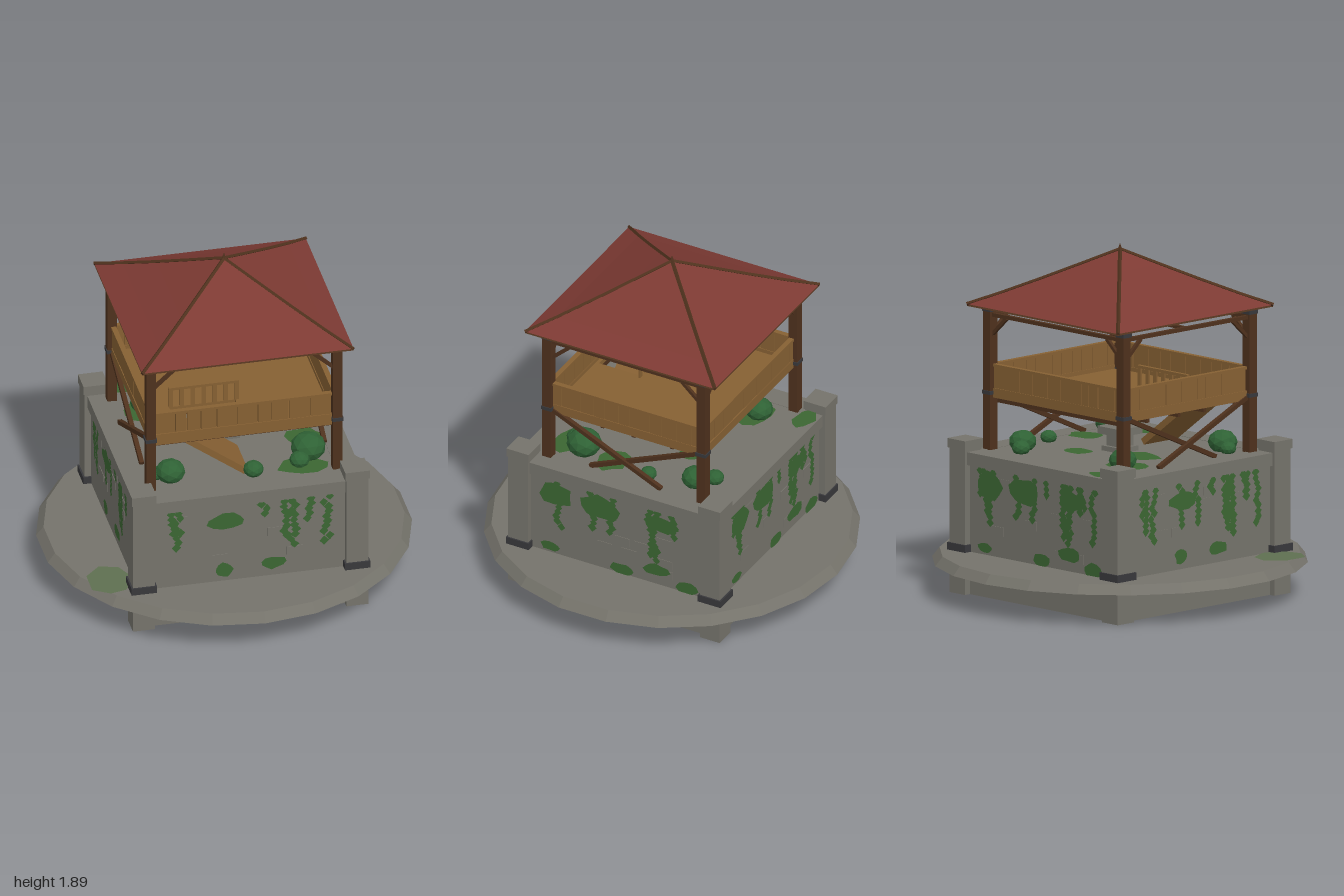
import * as THREE from 'three';

const mat = (name, color, extra = {}) => Object.assign(new THREE.MeshStandardMaterial({ color, ...extra }), { name });

export function createModel() {
  const root = new THREE.Group();
  root.name = 'watchtower';
  const DS = { side: THREE.DoubleSide };
  const stone = mat('stone', 0x75736b);
  const darkWood = mat('darkWood', 0x4e311d, DS);
  const plank = mat('plank', 0x866033);
  const roofRed = mat('roofRed', 0x7d3a33);
  const moss = mat('moss', 0x3b6632, DS);
  const paleMoss = mat('paleMoss', 0x5e6f50, DS);
  const leaf = mat('leaf', 0x2f6235);
  const iron = mat('iron', 0x38383b);
  const shadowFloor = mat('shadowFloor', 0x1e1e1e, DS);

  let seed = 7;
  const rnd = () => (seed = (seed * 16807) % 2147483647) / 2147483647;

  const add = (name, geo, material, x = 0, y = 0, z = 0, parent = root) => {
    const m = new THREE.Mesh(geo, material);
    m.name = name;
    m.position.set(x, y, z);
    parent.add(m);
    return m;
  };
  // Box given by its min and max corners
  const box = (name, material, x0, x1, y0, y1, z0, z1, parent = root) =>
    add(name, new THREE.BoxGeometry(x1 - x0, y1 - y0, z1 - z0), material,
      (x0 + x1) / 2, (y0 + y1) / 2, (z0 + z1) / 2, parent);
  // Timber between two points
  const beam = (name, material, a, b, w, d = w) => {
    const p = new THREE.Vector3(...a), q = new THREE.Vector3(...b);
    const dir = q.clone().sub(p), len = dir.length();
    const m = add(name, new THREE.BoxGeometry(w, len, d), material);
    m.position.copy(p).add(q).multiplyScalar(0.5);
    m.quaternion.setFromUnitVectors(new THREE.Vector3(0, 1, 0), dir.normalize());
  };
  const faceted = g => {
    const f = g.index ? g.toNonIndexed() : g;
    f.computeVertexNormals();
    return f;
  };
  // Ragged flat blob outline
  const blob = (cx, cy, rx, ry, n = 11) => new THREE.Shape(Array.from({ length: n }, (_, i) => {
    const a = i / n * Math.PI * 2, k = 0.8 + rnd() * 0.3;
    return new THREE.Vector2(cx + Math.cos(a) * rx * k, cy + Math.sin(a) * ry * k);
  }));
  const rect = (path, x0, x1, y0, y1) => path.moveTo(x0, y0).lineTo(x1, y0).lineTo(x1, y1).lineTo(x0, y1);

  // Round terrace slab
  add('terraceSlab', faceted(new THREE.CylinderGeometry(0.96, 1, 0.05, 22)), stone, 0, 0.205);
  box('cellarCeiling', shadowFloor, -0.52, 0.52, 0.172, 0.178, -0.52, 0.52);
  box('cellarBeam', stone, -0.35, 0.5, 0.13, 0.172, -0.03, 0.03);
  box('courtFloor', stone, -0.56, 0.56, 0.72, 0.768, -0.56, 0.56);

  // Stone walls with coping, raised stones, moss patches and hanging vines [u, bottom]
  const wall = (name, turn, patches, vines) => {
    const g = new THREE.Group();
    g.name = name;
    g.rotation.y = turn * Math.PI / 2;
    root.add(g);
    box('wall', stone, -0.54, 0.54, 0, 0.7, 0.51, 0.605, g);
    box('coping', stone, -0.54, 0.54, 0.7, 0.77, 0.5, 0.625, g);
    for (let i = 0; i < 9; i++) {
      const u = -0.42 + rnd() * 0.76, y = 0.28 + Math.floor(rnd() * 6) * 0.065;
      box('raisedStone', stone, u, u + 0.09, y, y + 0.05, 0.6, 0.608, g);
    }
    const shapes = patches.map(p => blob(...p));
    for (const [u, bottom] of vines)
      for (let y = 0.68; y > bottom; y -= 0.03)
        shapes.push(blob(u + (rnd() - 0.5) * 0.035, y, 0.026, 0.028, 4));
    add('wallMoss', new THREE.ShapeGeometry(shapes), moss, 0, 0, 0.611, g);
  };
  const sparse = [[-0.13, 0.6, 0.1, 0.05], [-0.14, 0.3, 0.05, 0.045], [0.13, 0.31, 0.07, 0.04]];
  const dense = [[-0.37, 0.61, 0.1, 0.08], [-0.1, 0.61, 0.12, 0.08], [0.27, 0.61, 0.1, 0.05],
    [-0.4, 0.27, 0.06, 0.03], [0.03, 0.26, 0.07, 0.035], [0.24, 0.32, 0.08, 0.04], [0.42, 0.26, 0.07, 0.04]];
  const thinVines = [[-0.42, 0.55], [-0.39, 0.46], [0.08, 0.6], [0.19, 0.45], [0.24, 0.39], [0.33, 0.53], [0.42, 0.4]];
  const thickVines = [[-0.35, 0.38], [-0.15, 0.45], [-0.03, 0.45], [0.2, 0.4], [0.23, 0.36], [0.34, 0.53]];
  wall('frontWall', 0, sparse, thinVines);
  wall('leftWall', 1, dense, thickVines);
  wall('backWall', 2, dense, [...thinVines, ...thickVines]);
  wall('rightWall', 3, sparse, [...thinVines, ...thickVines]);

  // Corner pillars, timber posts, bands and braces
  for (const sx of [-1, 1]) for (const sz of [-1, 1]) {
    const px = sx * 0.58, pz = sz * 0.58, tx = sx * 0.507, tz = sz * 0.467;
    add('cornerPillar', new THREE.BoxGeometry(0.12, 0.8, 0.12), stone, px, 0.4, pz);
    add('pillarCap', new THREE.BoxGeometry(0.134, 0.05, 0.134), stone, px, 0.807, pz);
    add('pillarCollar', new THREE.BoxGeometry(0.138, 0.04, 0.138), iron, px, 0.25, pz);
    add('post', new THREE.BoxGeometry(0.053, 1.51, 0.053), darkWood, tx, 0.785, tz);
    for (const y of [1.077, 1.525])
      add('postBand', new THREE.BoxGeometry(0.062, 0.02, 0.062), iron, tx, y, tz);
    beam('kneeBrace', darkWood, [sx * 0.49, 1.39, tz], [sx * 0.38, 1.49, tz], 0.018);
    beam('kneeBrace', darkWood, [tx, 1.39, sz * 0.45], [tx, 1.49, sz * 0.34], 0.018);
    beam('crossBrace', darkWood, [tx, 1.07, sz * 0.45], [tx + sx * sz * 0.01, 0.775, -sz * 0.22], 0.024);
  }

  // Roof frame and bell
  for (const s of [-1, 1]) {
    const z = s * 0.467, x = s * 0.507;
    box('tieBeam', darkWood, -0.5, 0.5, 1.488, 1.508, z - 0.012, z + 0.012);
    box('tieBeam', darkWood, x - 0.012, x + 0.012, 1.488, 1.508, -0.46, 0.46);
    box('wallPlate', darkWood, -0.53, 0.53, 1.535, 1.553, z - 0.02, z + 0.02);
    box('wallPlate', darkWood, x - 0.02, x + 0.02, 1.535, 1.553, -0.48, 0.48);
  }
  box('bellBeam', darkWood, -0.5, 0.5, 1.49, 1.506, -0.012, 0.012);
  add('bell', new THREE.CylinderGeometry(0.012, 0.022, 0.03, 10), iron, 0, 1.475);

  // Hipped roof with a slight sag, its lining, hip ridges and finial
  const profile = [[0.575, 1.556], [0.45, 1.615], [0.3, 1.692], [0.15, 1.773], [0, 1.855]];
  const hip = dy => faceted(new THREE.LatheGeometry(
    profile.map(([r, y]) => new THREE.Vector2(r * Math.SQRT2, y + dy)), 4));
  add('roof', hip(0), roofRed).rotation.y = Math.PI / 4;
  add('roofLining', hip(-0.01), darkWood).rotation.y = Math.PI / 4;
  for (const sx of [-1, 1]) for (const sz of [-1, 1])
    for (let i = 0; i < 4; i++) {
      const [r0, y0] = profile[i], [r1, y1] = profile[i + 1];
      beam('hipRidge', darkWood, [sx * r0, y0, sz * r0], [sx * r1, y1, sz * r1], 0.015);
    }
  add('finial', new THREE.ConeGeometry(0.016, 0.05, 6), darkWood, 0, 1.865);

  // Deck with a stair opening, and joists
  const deck = rect(new THREE.Shape(), -0.5, 0.5, -0.46, 0.46);
  deck.holes.push(rect(new THREE.Path(), -0.34, 0.02, -0.43, -0.18));
  add('deck', new THREE.ExtrudeGeometry(deck, { depth: 0.028, bevelEnabled: false }), plank, 0, 1.052).rotation.x = -Math.PI / 2;
  for (const z of [-0.43, -0.26, -0.03, 0.16, 0.44])
    box('joist', darkWood, -0.48, 0.48, 1.02, 1.052, z - 0.01, z + 0.01);

  // Boarded railings with uneven planks
  const railing = (name, half, dist, turn) => {
    const g = new THREE.Group();
    g.name = name;
    g.rotation.y = turn * Math.PI / 2;
    root.add(g);
    for (let u = -half; u < half - 0.01;) {
      const e = Math.min(half, u + 0.05 + rnd() * 0.08);
      box('railBoard', plank, u, e - 0.004, 1.1, 1.222, dist - 0.008, dist + 0.006 + rnd() * 0.004, g);
      u = e;
    }
    box('topRail', plank, -half, half, 1.218, 1.232, dist - 0.014, dist + 0.014, g);
    box('bottomRail', plank, -half, half, 1.05, 1.102, dist - 0.012, dist + 0.012, g);
  };
  railing('frontRailing', 0.48, 0.46, 0);
  railing('leftRailing', 0.44, 0.5, 1);
  railing('backRailing', 0.48, 0.46, 2);
  railing('rightRailing', 0.44, 0.5, 3);
  box('frontFascia', plank, -0.48, 0.48, 1.035, 1.055, 0.45, 0.47);

  // Guard beside the stair opening, and the ramp
  box('stairGuardRail', plank, -0.34, 0.04, 1.185, 1.2, 0.165, 0.185);
  for (let x = -0.33; x < 0.05; x += 0.06)
    box('stairGuardSlat', plank, x - 0.012, x + 0.012, 1.08, 1.185, 0.17, 0.18);
  beam('ramp', plank, [-0.35, 1.06, 0.31], [0.02, 0.785, 0.31], 0.035, 0.25);

  // Stone pedestal table
  box('pedestalFoot', stone, -0.07, 0.07, 0.768, 0.795, -0.07, 0.07);
  box('pedestal', stone, -0.05, 0.05, 0.795, 0.86, -0.05, 0.05);
  box('pedestalTop', stone, -0.085, 0.085, 0.86, 0.9, -0.085, 0.085);

  // Bushes
  const bush = (x, z, r) => {
    const b = add('bush', faceted(new THREE.IcosahedronGeometry(r, 1)), leaf, x, 0.765 + r * 0.62, z);
    b.scale.y = 0.82;
    b.rotation.y = rnd() * 6;
  };
  bush(-0.38, 0.39, 0.08);
  bush(-0.45, 0.36, 0.045);
  bush(0.06, 0.44, 0.055);
  bush(0.385, 0.32, 0.095);
  bush(0.32, 0.4, 0.055);
  bush(0.38, -0.35, 0.075);
  bush(0.31, -0.43, 0.05);
  bush(0.44, -0.1, 0.045);
  bush(-0.36, -0.33, 0.075);

  // Flat moss on the court floor and terrace
  const ground = (name, shapes, material, y) =>
    add(name, new THREE.ShapeGeometry(shapes), material, 0, y).rotation.x = -Math.PI / 2;
  ground('floorMoss', [blob(0.4, -0.14, 0.11, 0.09), blob(0.33, -0.42, 0.14, 0.09), blob(-0.22, 0.06, 0.13, 0.1),
    blob(-0.36, 0.3, 0.13, 0.11), blob(0.12, 0.2, 0.09, 0.07), blob(-0.44, 0.56, 0.09, 0.06)], moss, 0.775);
  ground('terraceMoss', blob(-0.73, -0.48, 0.12, 0.16, 7), paleMoss, 0.234);

  return root;
}
